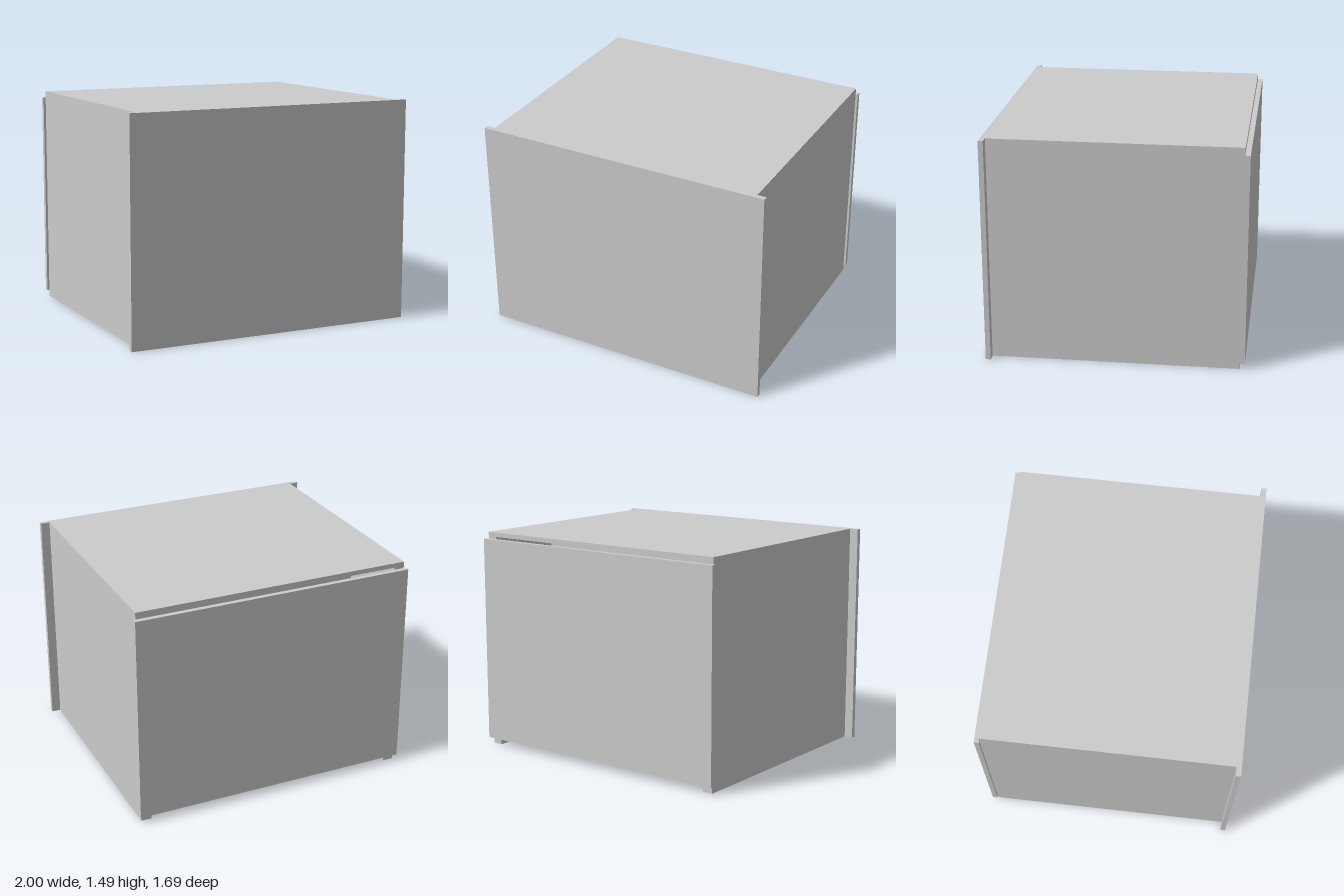
import * as THREE from 'three';

export function createModel() {
  const model = new THREE.Group();
  const material = new THREE.MeshStandardMaterial({ color: 0xcccccc });

  // Board given by its extents along x, y and z
  function board(name, [x0, x1], [y0, y1], [z0, z1]) {
    const mesh = new THREE.Mesh(new THREE.BoxGeometry(x1 - x0, y1 - y0, z1 - z0), material);
    mesh.position.set((x0 + x1) / 2, (y0 + y1) / 2, (z0 + z1) / 2);
    mesh.name = name;
    model.add(mesh);
  }

  const height = 1.49, outer = 0.94, inner = 0.87, lid = 0.03;
  const front = 0.812, back = -0.812, depth = 0.845;

  // Open-bottomed carcass: two thick sides and a thin top
  board('leftSide', [inner, outer], [0, height - lid], [back, front]);
  board('rightSide', [-outer, -inner], [0, height - lid], [back, front]);
  board('top', [-outer, outer], [height - lid, height], [back, front]);

  // Wide front and a shorter back leaving a slot above and below
  board('frontPanel', [-1, 1], [0, height], [front, depth]);
  board('backPanel', [-0.955, 0.955], [0.045, 1.445], [-depth, back]);

  // Inner partitions, raised slightly off the floor
  for (const z of [0.29, -0.25]) {
    board('partition', [-inner, inner], [0.065, height - lid], [z - 0.008, z + 0.008]);
  }
  return model;
}
